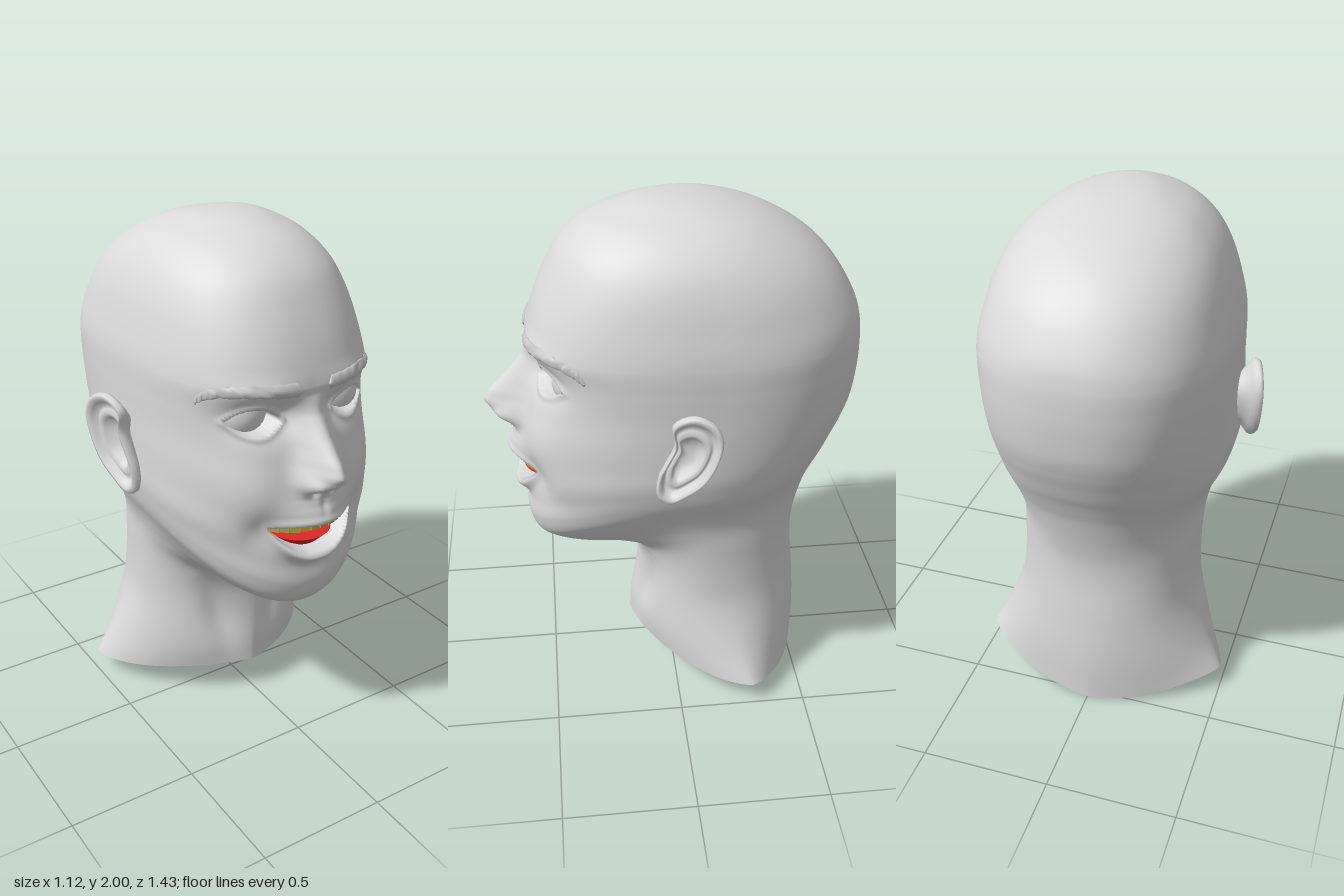
import * as THREE from 'three';

const skin = new THREE.MeshStandardMaterial({ color: 0xdadada, side: THREE.DoubleSide });
skin.name = 'skin grey';
const browGrey = new THREE.MeshStandardMaterial({ color: 0xc8c8c8, side: THREE.DoubleSide });
browGrey.name = 'brow grey';
const toothYellow = new THREE.MeshStandardMaterial({ color: 0xb8a53e });
toothYellow.name = 'tooth yellow';
const tongueRed = new THREE.MeshStandardMaterial({ color: 0xe02626 });
tongueRed.name = 'tongue red';

// Head rings from neck to crown: front centre [roundness, y, z], side [x, y, z], back centre [roundness, y, z]
const FRONT = [
  [1.5, 0.14, 0.17], [1.75, 0.25, 0.163], [2, 0.4, 0.135], [2, 0.5, 0.13], [2, 0.575, 0.165], [2, 0.592, 0.27],
  [2, 0.585, 0.38], [2.1, 0.605, 0.47], [2.2, 0.65, 0.54], [2.2, 0.73, 0.57], [2.25, 0.82, 0.565], [2.3, 0.92, 0.575],
  [2.3, 1.03, 0.575], [2.4, 1.15, 0.56], [2.4, 1.28, 0.54], [2.45, 1.4, 0.53], [2.45, 1.5, 0.535], [2.4, 1.62, 0.505],
  [2.3, 1.75, 0.45], [2.2, 1.855, 0.385], [2.1, 1.935, 0.28], [2, 1.983, 0.15], [2, 1.997, 0.07], [2, 2, 0],
];
const SIDE = [
  [0.495, 0.088, -0.29], [0.432, 0.22, -0.24], [0.37, 0.4, -0.18], [0.355, 0.55, -0.15], [0.355, 0.68, -0.13], [0.36, 0.76, -0.09],
  [0.375, 0.82, -0.06], [0.395, 0.87, -0.05], [0.415, 0.91, -0.04], [0.432, 0.95, -0.04], [0.445, 1.0, -0.04], [0.455, 1.06, -0.05],
  [0.457, 1.13, -0.07], [0.457, 1.22, -0.1], [0.457, 1.32, -0.13], [0.458, 1.42, -0.15], [0.456, 1.52, -0.16], [0.437, 1.62, -0.15],
  [0.4, 1.75, -0.13], [0.345, 1.85, -0.11], [0.26, 1.93, -0.09], [0.15, 1.98, -0.06], [0.07, 1.996, -0.02], [0, 2, 0],
];
const BACK = [
  [1.5, 0, -0.535], [1.8, 0.2, -0.535], [2.1, 0.4, -0.52], [2.2, 0.55, -0.505], [2.2, 0.66, -0.505], [2.2, 0.75, -0.52],
  [2.2, 0.83, -0.54], [2.2, 0.9, -0.56], [2.2, 0.95, -0.58], [2.2, 1.0, -0.602], [2.2, 1.05, -0.627], [2.2, 1.11, -0.652],
  [2.25, 1.18, -0.68], [2.3, 1.26, -0.703], [2.35, 1.36, -0.713], [2.35, 1.44, -0.715], [2.35, 1.54, -0.708], [2.35, 1.63, -0.68],
  [2.3, 1.75, -0.605], [2.2, 1.85, -0.5], [2.1, 1.93, -0.36], [2, 1.975, -0.22], [2, 1.995, -0.1], [2, 2, 0],
];
// Nose height above the face, [y, height]
const NOSE = [[1.07, 0], [1.1, 0.015], [1.13, 0.055], [1.165, 0.12], [1.21, 0.162], [1.25, 0.147], [1.32, 0.088], [1.4, 0.03], [1.47, 0]];

const curve = rows => new THREE.CatmullRomCurve3(rows.map(r => new THREE.Vector3(...r)), false, 'catmullrom', 0.5);
const bump = (x, y, cx, cy, sx, sy) => Math.exp(-(((x - cx) / sx) ** 2) - ((y - cy) / sy) ** 2);
const table = (rows, v) => {
  for (let i = 1; i < rows.length; i++) {
    const [a, p] = rows[i - 1], [b, q] = rows[i];
    if (v >= a && v <= b) return THREE.MathUtils.lerp(p, q, (v - a) / (b - a));
  }
  return 0;
};

// Smooth surface through rings of points; each ring closes on itself
function loft(rings) {
  const n = rings[0].length, index = [];
  for (let j = 0; j < rings.length - 1; j++) {
    for (let i = 0; i < n; i++) {
      const a = j * n + i, b = j * n + (i + 1) % n;
      index.push(a, b, a + n, b, b + n, a + n);
    }
  }
  const g = new THREE.BufferGeometry();
  g.setAttribute('position', new THREE.Float32BufferAttribute(rings.flat().flatMap(p => [p.x, p.y, p.z]), 3));
  g.setIndex(index);
  g.computeVertexNormals();
  return g;
}

// Facial relief: nose, lips, open mouth, eye sockets, lids, cheeks and neck muscles
function sculpt(p) {
  const x = Math.abs(p.x), y = p.y;
  if (y < 0.56) {
    p.z -= 0.025 * bump(x, y, 0.09 + 0.25 * (y - 0.2), 0.36, 0.06, 0.14);
    return;
  }
  if (y > 1.65 || p.z < 0.15) return;
  let d = table(NOSE, y) * Math.exp(-((x / (0.06 + 0.1 * Math.max(0, 1.29 - y))) ** 2));
  d += 0.04 * bump(x, y, 0.064, 1.165, 0.03, 0.036);
  d -= 0.025 * bump(x, y, 0.036, 1.125, 0.018, 0.014);
  d += 0.05 * bump(x, y, 0, 1.04, 0.12, 0.075);
  d -= 0.008 * bump(x, y, 0, 1.07, 0.015, 0.03);
  d += 0.018 * bump(x, y, 0.25, 1.13, 0.11, 0.11);
  d -= 0.028 * bump(x, y, 0.2, 0.97, 0.07, 0.08);
  d += 0.015 * bump(x, y, 0.2, 1.5, 0.15, 0.035);
  d -= 0.05 * bump(x, y, 0.19, 1.385, 0.11, 0.065);
  d -= 0.02 * bump(x, y, 0.09, 1.4, 0.045, 0.06);
  // lips follow the edges of the opening
  const lower = 0.876 + 0.107 * (x / 0.18) ** 2.5, upper = 0.997 - 0.012 * (x / 0.18) ** 2;
  const fade = Math.max(0, 1 - (x / 0.2) ** 2);
  d += 0.042 * fade * Math.exp(-(((y - lower + 0.02) / 0.026) ** 2));
  d += 0.015 * fade * Math.exp(-(((y - upper - 0.014) / 0.016) ** 2));
  // lids follow the almond of the eye
  const e = ((x - 0.2) / 0.092) ** 2, lid = 0.045 * (1 - e);
  const gap = lid - Math.abs(y - 1.382);
  if (e < 1.3) d += 0.012 * Math.exp(-(((gap + 0.01) / 0.013) ** 2));
  d -= 0.075 * THREE.MathUtils.smoothstep(gap, 0, 0.012);
  p.z += d;
  // mouth pocket, its roof sloping forward
  const inside = THREE.MathUtils.smoothstep(Math.min(y - lower, upper - y), 0, 0.012);
  p.z = THREE.MathUtils.lerp(p.z, Math.min(p.z, 0.36 + 1.3 * (y - 0.93)), inside);
}

function headRings() {
  const f = curve(FRONT), s = curve(SIDE), b = curve(BACK);
  const last = FRONT.length - 1, cols = 180, rings = [];
  for (let k = 0; k <= last; k++) {
    const steps = k === last ? 1 : k >= 8 && k < 16 ? 14 : 5;
    for (let m = 0; m < steps; m++) {
      const t = (k + m / steps) / last;
      const F = f.getPoint(t), S = s.getPoint(t), B = b.getPoint(t), ring = [];
      for (let i = 0; i < cols; i++) {
        const u = (2 * i) / cols - 1;
        const phi = Math.PI * (0.45 * u + 0.55 * u ** 3);
        const sn = Math.sin(phi), cs = Math.cos(phi), end = cs > 0 ? F : B;
        const r = (Math.abs(sn) ** end.x + Math.abs(cs) ** end.x) ** (-1 / end.x);
        const p = new THREE.Vector3(S.x * r * sn, S.y * sn * sn + end.y * cs * cs, S.z + Math.abs(end.z - S.z) * r * cs);
        if (cs > 0) sculpt(p);
        ring.push(p);
      }
      rings.push(ring);
    }
  }
  return rings;
}

// Ear: an outline in (z, y) shrunk and offset through back, rim and bowl
function earGeometry() {
  const outline = [[0.032, 1.26], [0.063, 1.18], [0.09, 1.11], [0.09, 1.03], [0.053, 1.008], [-0.01, 1.05], [-0.07, 1.11],
    [-0.116, 1.205], [-0.132, 1.3], [-0.105, 1.36], [-0.037, 1.386], [0.037, 1.34]];
  const c = new THREE.CatmullRomCurve3(outline.map(([z, y]) => new THREE.Vector3(0, y, z)), true);
  const pts = c.getPoints(48).slice(0, 48);
  const profile = [[0.55, -0.1], [0.66, -0.045], [0.88, -0.02], [0.98, -0.006], [1, 0.008], [0.96, 0.02], [0.89, 0.021],
    [0.81, 0.01], [0.75, -0.008], [0.66, -0.006], [0.57, 0.004], [0.48, -0.008], [0.38, -0.03], [0.2, -0.036], [0, -0.036]];
  return loft(profile.map(([k, out]) => pts.map(p => {
    const z = -0.015 + (p.z + 0.015) * k, y = 1.2 + (p.y - 1.2) * k;
    return new THREE.Vector3(0.497 - 0.34 * z + out, y, z);
  })));
}

// Eyebrow: a flat tapered band lying on the skin
function browGeometry(skinZ) {
  const path = curve([[0.055, 1.495, 0], [0.13, 1.502, 0], [0.22, 1.508, 0], [0.31, 1.498, 0], [0.35, 1.475, 0], [0.366, 1.452, 0]]);
  const rings = [];
  for (let i = 0; i <= 30; i++) {
    const t = i / 30, c = path.getPoint(t), ring = [];
    const half = i === 0 || i === 30 ? 0.002 : 0.028 * (1 - 0.4 * t) + 0.002 * Math.sin(i * 2.1);
    for (let a = 0; a < 10; a++) {
      const w = (a / 10) * Math.PI * 2, y = c.y + half * Math.cos(w);
      ring.push(new THREE.Vector3(c.x, y, skinZ(c.x, y) + 0.009 * Math.sin(w)));
    }
    rings.push(ring);
  }
  return loft(rings);
}

export function createModel() {
  const model = new THREE.Group();
  model.name = 'human head';
  const add = (name, geometry, material, parent = model) => {
    const m = new THREE.Mesh(geometry, material);
    m.name = name;
    parent.add(m);
    return m;
  };

  const rings = headRings();
  add('headAndNeck', loft(rings), skin);
  const face = rings.flat().filter(p => p.z > 0.15 && p.y > 1.3 && p.y < 1.65);
  const skinZ = (x, y) => {
    let best = 1, z = 0;
    for (const p of face) {
      const d = (p.x - x) ** 2 + (p.y - y) ** 2;
      if (d < best) { best = d; z = p.z; }
    }
    return z;
  };

  // paired parts, mirrored across x
  const ear = earGeometry(), brow = browGeometry(skinZ), ball = new THREE.SphereGeometry(0.11, 32, 24);
  for (const [side, sign] of [['left', 1], ['right', -1]]) {
    const half = new THREE.Group();
    half.name = side + 'Features';
    half.scale.x = sign;
    add(side + 'Ear', ear, skin, half);
    add(side + 'Eyebrow', brow, browGrey, half);
    add(side + 'Eyeball', ball, skin, half).position.set(0.2, 1.382, 0.338);
    model.add(half);
  }

  // upper teeth set along the dental arch
  const teeth = new THREE.Group();
  teeth.name = 'upperTeeth';
  for (let i = 0; i < 12; i++) {
    const a = ((i - 5.5) / 5.5) * 1.15;
    const t = add('tooth', new THREE.BoxGeometry(0.034, i % 2 ? 0.036 : 0.032, 0.022), toothYellow, teeth);
    t.position.set(0.178 * Math.sin(a), 0.984, 0.435 + 0.145 * Math.cos(a));
    t.rotation.y = a;
  }
  model.add(teeth);

  // tongue with a flat top and an undercut front edge
  const tongue = add('tongue', new THREE.CylinderGeometry(1, 0.6, 1, 40), tongueRed);
  tongue.scale.set(0.118, 0.045, 0.11);
  tongue.position.set(0, 0.897, 0.465);
  return model;
}
